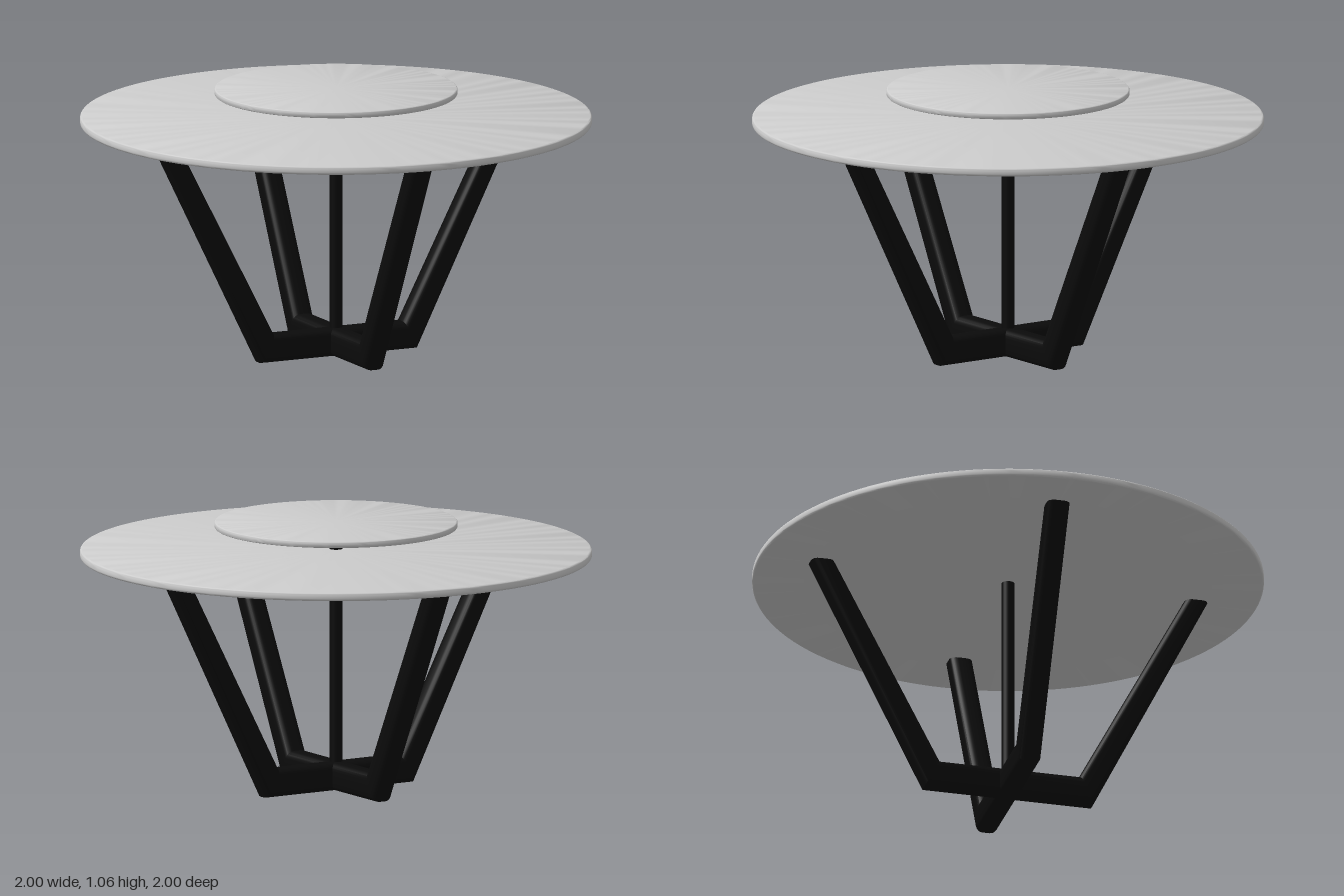
import * as THREE from 'three';
import { toCreasedNormals } from 'three/addons/utils/BufferGeometryUtils.js';

const grey = new THREE.MeshStandardMaterial({ color: 0xcccccc });
const black = new THREE.MeshStandardMaterial({ color: 0x0b0b0b });

function add(parent, name, geometry, material) {
  const mesh = new THREE.Mesh(geometry, material);
  mesh.name = name;
  parent.add(mesh);
  return mesh;
}

// Round plate with softened rim
function plate(radius, y0, y1, bevel) {
  const pts = [[0, y0], [radius - bevel, y0]];
  for (const [cy, start] of [[y0 + bevel, -90], [y1 - bevel, 0]]) {
    for (let i = 0; i <= 4; i++) {
      const a = THREE.MathUtils.degToRad(start + i * 22.5);
      pts.push([radius - bevel + bevel * Math.cos(a), cy + bevel * Math.sin(a)]);
    }
  }
  pts.push([0, y1]);
  const profile = pts.map(([x, y]) => new THREE.Vector2(x, y));
  return toCreasedNormals(new THREE.LatheGeometry(profile, 128), 0.6);
}

// Rounded-rectangle section: u across the beam, v from outer (0) to inner (1) edge
function section(width, depth, r) {
  const ring = [];
  const steps = 5;
  [[1, 1], [-1, 1], [-1, -1], [1, -1]].forEach(([su, sv], q) => {
    for (let i = 0; i <= steps; i++) {
      const a = (q + i / steps) * Math.PI / 2;
      ring.push([
        su * (width / 2 - r) + r * Math.cos(a),
        0.5 + (sv * (depth / 2 - r) + r * Math.sin(a)) / depth,
      ]);
    }
  });
  return ring;
}

// Two slanted legs joined by a floor beam, mitred at the corners
function legFrame() {
  const ring = section(0.09, 0.11, 0.03);
  const n = ring.length;
  // Each station: outer x, outer y, inner x, inner y
  const stations = [
    [-0.8, 0.922, -0.708, 0.922],
    [-0.34, 0, -0.282, 0.11],
    [0.34, 0, 0.282, 0.11],
    [0.8, 0.922, 0.708, 0.922],
  ];
  const pos = [];
  const index = [];
  for (const [ox, oy, ix, iy] of stations) {
    for (const [u, v] of ring) pos.push(ox + (ix - ox) * v, oy + (iy - oy) * v, u);
  }
  for (let s = 0; s < stations.length - 1; s++) {
    for (let i = 0; i < n; i++) {
      const a = s * n + i, b = s * n + (i + 1) % n;
      index.push(a, a + n, b, b, a + n, b + n);
    }
  }
  // End caps under the table top
  const last = (stations.length - 1) * n;
  for (let i = 1; i < n - 1; i++) {
    index.push(0, i, i + 1, last, last + i + 1, last + i);
  }
  const g = new THREE.BufferGeometry();
  g.setAttribute('position', new THREE.Float32BufferAttribute(pos, 3));
  g.setIndex(index);
  return toCreasedNormals(g, 0.5);
}

export function createModel() {
  const table = new THREE.Group();
  table.name = 'roundTable';

  add(table, 'tableTop', plate(1, 0.92, 0.953, 0.01), grey);
  add(table, 'turntable', plate(0.475, 1.038, 1.063, 0.007), grey);

  // Crossed leg frames
  const geometry = legFrame();
  add(table, 'legFrameSide', geometry, black);
  const frontBack = add(table, 'legFrameFrontBack', geometry, black);
  frontBack.rotation.y = Math.PI / 2;
  frontBack.scale.y = 0.998;
  frontBack.position.y = 0.001;

  // Central spindle carrying the turntable
  const spindle = add(table, 'spindle', new THREE.CylinderGeometry(0.025, 0.025, 0.99, 32), black);
  spindle.position.y = 0.545;

  return table;
}
